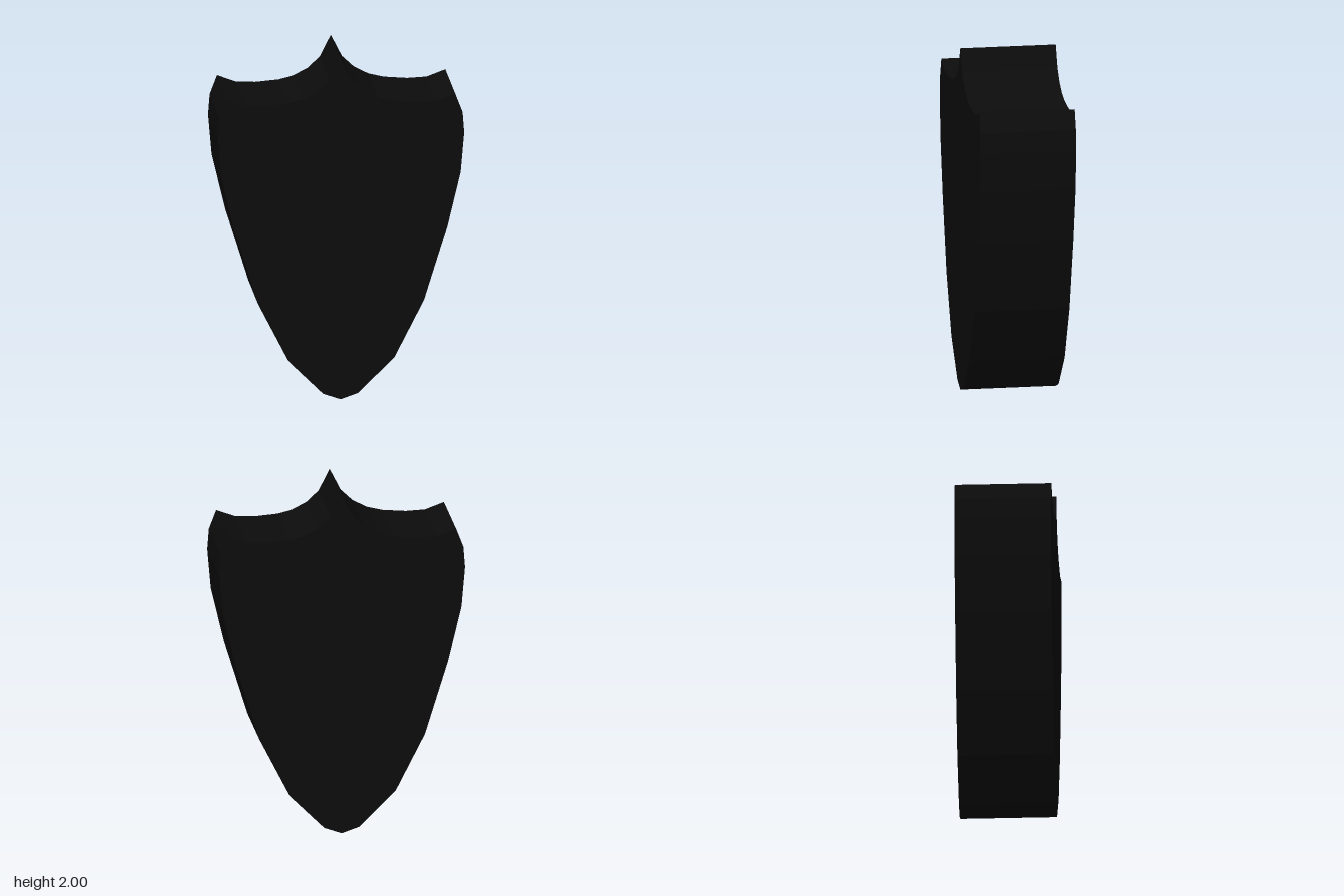
import * as THREE from 'three';

// Right half of the shield outline, from the top spike down to the bottom tip
const HALF = [
  [0, 2], [0.063, 1.875], [0.132, 1.81], [0.215, 1.767], [0.303, 1.746],
  [0.435, 1.735], [0.545, 1.74], [0.653, 1.78], [0.695, 1.67], [0.704, 1.55],
  [0.684, 1.32], [0.608, 1.0], [0.475, 0.57], [0.307, 0.24], [0.1, 0.035], [0, 0],
];
const DEPTH = 0.55;

export function createModel() {
  const group = new THREE.Group();
  group.name = 'shield';

  // Mirror the half outline, leaving out the shared tip points
  const mirrored = HALF.slice(1, -1).reverse().map(([x, y]) => [-x, y]);
  const outline = [...HALF, ...mirrored].map(([x, y]) => new THREE.Vector2(x, y));

  // Thick shield slab, centred on z
  const geometry = new THREE.ExtrudeGeometry(new THREE.Shape(outline), {
    depth: DEPTH, bevelEnabled: false, steps: 1,
  });
  geometry.translate(0, 0, -DEPTH / 2);

  const material = new THREE.MeshStandardMaterial({ color: 0x0c0c0c, flatShading: true });
  const body = new THREE.Mesh(geometry, material);
  body.name = 'shieldBody';
  group.add(body);
  return group;
}
